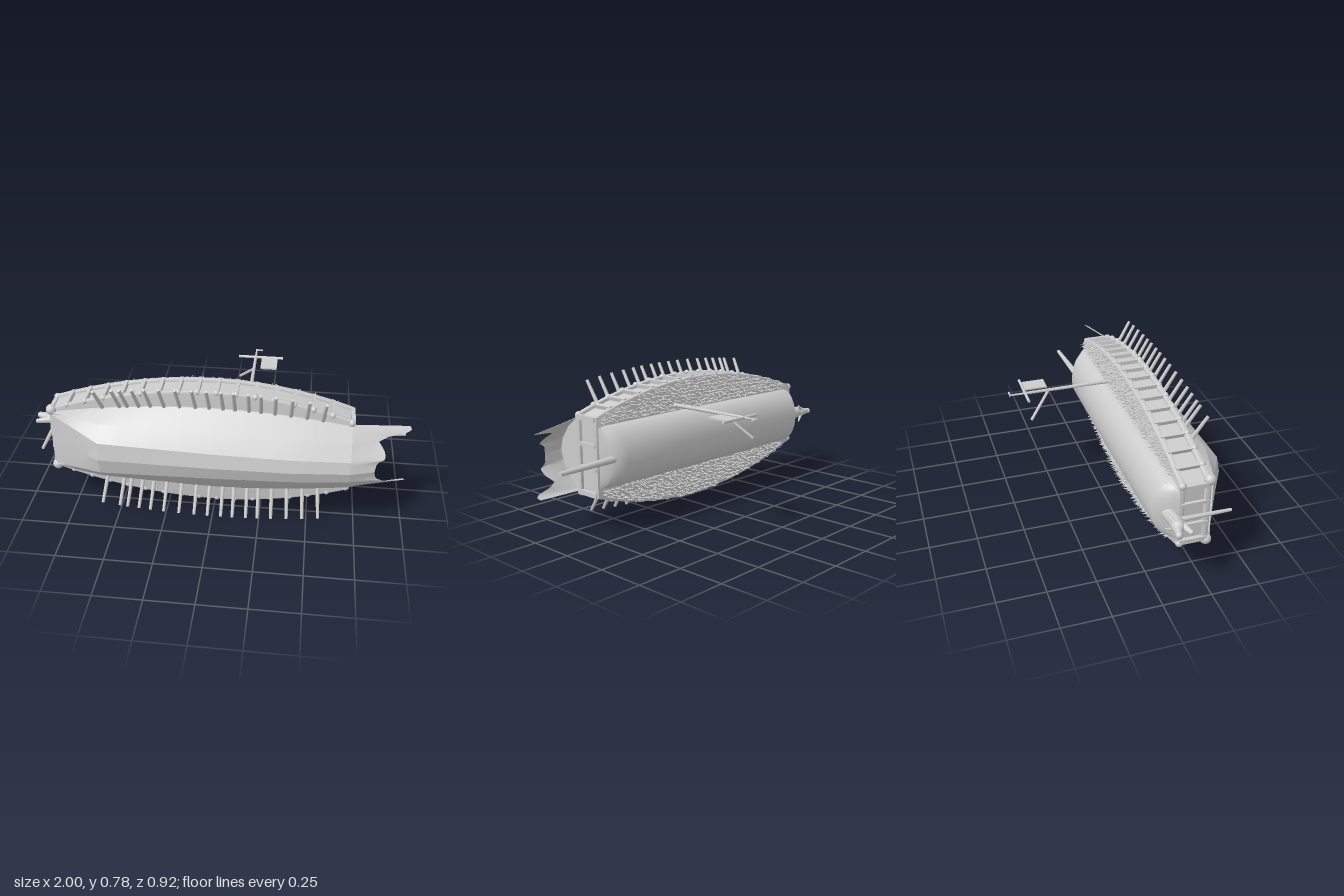
import * as THREE from 'three';
import { toCreasedNormals } from 'three/addons/utils/BufferGeometryUtils.js';

const MID = 0.395; // height of the ship's centre line (it lies on its side, keel towards +z)
const mat = new THREE.MeshStandardMaterial({ color: 0xcccccc, side: THREE.DoubleSide });
const V = (x, y, z) => new THREE.Vector3(x, y, z);
const beam = x => 0.325 - (x < 0 ? 0.215 : 0.25) * x * x;
const hullBeam = x => 0.25 - 0.12 * x * x;

// piecewise linear lookup in [[x, value], ...]
function lookup(table, x) {
  for (let i = 1; i < table.length; i++) {
    const [a, va] = table[i - 1], [b, vb] = table[i];
    if (x <= b) return va + (vb - va) * Math.max(0, (x - a) / (b - a));
  }
  return table[table.length - 1][1];
}

// surface through rows of points, all rows of equal length
function loft(rows, crease = 0.5) {
  const n = rows[0].length, index = [];
  for (let i = 0; i < rows.length - 1; i++)
    for (let j = 0; j < n - 1; j++) {
      const a = i * n + j, b = a + n;
      index.push(a, b, a + 1, b, b + 1, a + 1);
    }
  const g = new THREE.BufferGeometry().setFromPoints(rows.flat());
  g.setIndex(index);
  return toCreasedNormals(g, crease);
}

export function createModel() {
  const model = new THREE.Group();
  const add = (name, geo, parent = model) => {
    const m = new THREE.Mesh(geo, mat);
    m.name = name;
    parent.add(m);
    return m;
  };
  const group = name => {
    const g = new THREE.Group();
    g.name = name;
    model.add(g);
    return g;
  };
  const rod = (name, a, b, r0, r1, parent, sides = 8) => {
    const m = add(name, new THREE.CylinderGeometry(r1, r0, a.distanceTo(b), sides), parent);
    m.position.copy(a).lerp(b, 0.5);
    m.quaternion.setFromUnitVectors(V(0, 1, 0), b.clone().sub(a).normalize());
    return m;
  };
  const ball = (name, x, y, z, r, parent, sx = 1, sy = 1, sz = 1) => {
    const m = add(name, new THREE.SphereGeometry(r, 14, 10), parent);
    m.position.set(x, y, z);
    m.scale.set(sx, sy, sz);
    return m;
  };

  // hull: gunwale, bilge, chine and keel on both sides
  const keelZ = [[-0.85, 0.285], [-0.57, 0.45], [0, 0.456], [0.4, 0.45], [0.7, 0.425]];
  const chineY = [[-0.85, 0.155], [-0.57, 0.09], [0, 0.075], [0.7, 0.06]];
  const halfSection = x => {
    const hw = hullBeam(x), zk = lookup(keelZ, x), c = lookup(chineY, x), zc = 0.27 + (zk - 0.27) * 0.9;
    return [[hw, 0.262], [hw * 0.98, 0.28], [(hw + c) / 2 + 0.008, (0.28 + zc) / 2 + 0.008], [c, zc], [0, zk]];
  };
  const mirrorRow = (x, half) => [
    ...half.map(([y, z]) => V(x, MID + y, z)),
    ...half.slice(0, -1).reverse().map(([y, z]) => V(x, MID - y, z))];
  const hullRows = [];
  for (const x of [-0.85, -0.78, -0.71, -0.64, -0.57, -0.45, -0.3, -0.15, 0, 0.15, 0.3, 0.4, 0.5, 0.6, 0.7])
    hullRows.push(mirrorRow(x, halfSection(x)));
  add('hull', loft(hullRows, 0.25));

  // swallow-tailed stern plates running past the transom
  const tailX = [[0, 0.99], [0.1, 1], [0.2, 0.975], [0.35, 0.88], [0.5, 0.835], [0.65, 0.865], [0.78, 0.87], [0.85, 0.83], [1, 0.82]];
  const endY = [[0, 0.165], [0.5, 0.125], [0.8, 0.06], [1, 0]];
  const endZ = [[0, 0.2], [0.5, 0.3], [0.8, 0.37], [1, 0.39]];
  const stern = halfSection(0.7);
  for (const s of [1, -1]) {
    const rows = [];
    for (let i = 0; i <= 8; i++) {
      const u = i / 8, row = [];
      for (let j = 0; j <= 24; j++) {
        const t = j / 24, k = Math.min(3, Math.floor(t * 4)), f = t * 4 - k;
        const y0 = stern[k][0] + (stern[k + 1][0] - stern[k][0]) * f;
        const z0 = stern[k][1] + (stern[k + 1][1] - stern[k][1]) * f;
        row.push(V(0.7 + (lookup(tailX, t) - 0.7) * u,
          MID + s * (y0 + (lookup(endY, t) - y0) * u), z0 + (lookup(endZ, t) - z0) * u));
      }
      rows.push(row);
    }
    add('sternTail', loft(rows));
  }

  // upper works: plan outline extruded between deck and gunwale
  const outline = off => {
    const pts = [];
    for (let i = 0; i <= 30; i++) {
      const x = -0.85 - off + (1.55 + 2 * off) * i / 30;
      pts.push([x, beam(x) + off]);
    }
    return new THREE.Shape([...pts.map(([x, y]) => new THREE.Vector2(x, MID - y)),
      ...pts.reverse().map(([x, y]) => new THREE.Vector2(x, MID + y))]);
  };
  const slab = (name, off, z, depth, bevel) => {
    const g = new THREE.ExtrudeGeometry(outline(off), { depth, bevelEnabled: bevel > 0,
      bevelSize: bevel, bevelThickness: bevel, bevelSegments: 2 });
    add(name, toCreasedNormals(g, 0.6)).position.z = z;
  };
  slab('sideWalls', -0.008, 0.125, 0.135, 0);
  slab('deckRail', 0, 0.122, 0.016, 0.007);
  slab('gunwale', 0.002, 0.253, 0.014, 0.008);

  // wall ribs and knobs
  const ribs = group('wallRibs');
  for (let x = -0.76; x < 0.69; x += 0.097)
    for (const s of [1, -1]) {
      const slope = (beam(x + 0.01) - beam(x - 0.01)) / 0.02;
      const r = add('rib', new THREE.BoxGeometry(0.02, 0.024, 0.14), ribs);
      r.position.set(x, MID + s * beam(x), 0.195);
      r.rotation.z = Math.atan(s * slope);
      ball('ribKnob', x, MID + s * (beam(x) + 0.003), 0.262, 0.017, ribs);
    }
  for (const s of [1, -1]) {
    ball('bowKnob', -0.845, MID + s * 0.172, 0.268, 0.029, ribs);
    ball('bowKnob', -0.85, MID + s * 0.165, 0.13, 0.02, ribs);
    ball('sternKnob', 0.695, MID + s * 0.2, 0.262, 0.02, ribs);
    for (const x of [-0.856, 0.704]) {
      const post = add('endPost', new THREE.BoxGeometry(0.02, 0.025, 0.14), ribs);
      post.position.set(x, MID + s * (x < 0 ? 0.155 : 0.195), 0.195);
      const inner = add('endPost', new THREE.BoxGeometry(0.016, 0.018, 0.14), ribs);
      inner.position.set(x, MID + s * 0.06, 0.195);
    }
  }
  // bulkhead closing the hull under the transom
  const bulk = new THREE.Shape(mirrorRow(0, stern).map(p => new THREE.Vector2(p.y, p.z)));
  const bulkhead = new THREE.ShapeGeometry(bulk);
  bulkhead.applyMatrix4(new THREE.Matrix4().makeBasis(V(0, 1, 0), V(0, 0, 1), V(1, 0, 0)));
  add('sternBulkhead', bulkhead).position.x = 0.69;

  // rounded roof with sloping ends
  const roofRows = [[-0.85, 0.005, 0.125], [-0.84, 0.02, 0.14], [-0.81, 0.075, 0.15], [-0.78, 0.106, 0.158], [-0.3, 0.11, 0.162],
    [0.2, 0.11, 0.162], [0.6, 0.11, 0.16], [0.64, 0.095, 0.16], [0.67, 0.065, 0.158], [0.695, 0.005, 0.155]].map(([x, h, w]) =>
    Array.from({ length: 21 }, (_, i) => {
      const a = Math.PI * i / 20;
      return V(x, MID + w * Math.cos(a), 0.117 - h * Math.sin(a));
    }));
  add('roof', loft(roofRows));

  // deck spikes scattered between roof and rail
  let seed = 7;
  const rnd = () => (seed = (seed * 16807) % 2147483647) / 2147483647;
  const spikes = group('deckSpikes');
  const spikeGeo = new THREE.ConeGeometry(0.0065, 0.036, 5).rotateX(-Math.PI / 2);
  for (let x = -0.76; x < 0.69; x += 0.0165)
    for (const s of [1, -1])
      for (let y = 0.175; y < beam(x) - 0.004; y += 0.02) {
        const m = add('spike', spikeGeo, spikes);
        m.position.set(x + (rnd() - 0.5) * 0.014, MID + s * (y + (rnd() - 0.5) * 0.012), 0.102);
        m.rotation.set((rnd() - 0.5) * 0.7, (rnd() - 0.5) * 0.7, 0);
      }

  // oars fanning out on both sides
  const oars = group('oars');
  for (const x of [-0.57, -0.48, -0.44, -0.38, -0.32, -0.25, -0.17, -0.09, -0.02, 0.05, 0.11, 0.18, 0.24, 0.31, 0.39, 0.47, 0.55])
    for (const s of [1, -1])
      rod('oar', V(x, MID + s * (0.235 - 0.1 * x * x), 0.27),
        V(x + 0.03 * x - 0.005, MID + s * (0.388 - 0.12 * x * x), 0.355), 0.011, 0.0085, oars);

  // mast with yard, brace and flag
  const rig = group('mast');
  const my = 0.59;
  rod('pole', V(0.165, my, 0.12), V(0.165, my, -0.38), 0.011, 0.008, rig);
  rod('topPole', V(0.165, my, -0.37), V(0.165, my, -0.46), 0.006, 0.005, rig);
  rod('finial', V(0.16, my, -0.455), V(0.2, my, -0.455), 0.006, 0.005, rig);
  rod('yard', V(0.07, my, -0.372), V(0.32, my, -0.372), 0.008, 0.008, rig);
  rod('brace', V(0.165, 0.585, -0.245), V(0.08, 0.468, -0.362), 0.008, 0.008, rig);
  add('flag', new THREE.BoxGeometry(0.09, 0.008, 0.13), rig).position.set(0.245, my, -0.308);

  // stern spar
  rod('sternSpar', V(0.6, MID, 0.055), V(0.999, MID, 0.028), 0.02, 0.011, model, 10);

  // bow beast head with open jaws, horns, and the hanging anchor
  const head = group('bowHead');
  rod('neck', V(-0.8, MID, 0.08), V(-0.91, MID, 0.092), 0.035, 0.033, head, 12);
  ball('skull', -0.915, MID, 0.088, 0.036, head, 1.2, 0.9, 0.95);
  rod('upperJaw', V(-0.92, MID, 0.08), V(-0.985, MID, 0.07), 0.027, 0.015, head, 10);
  ball('snout', -0.983, MID, 0.068, 0.017, head);
  rod('lowerJaw', V(-0.91, MID, 0.105), V(-0.98, MID, 0.128), 0.022, 0.012, head, 10);
  ball('chin', -0.98, MID, 0.128, 0.013, head);
  for (const s of [1, -1])
    rod('horn', V(-0.91, MID + s * 0.02, 0.07), V(-0.865, MID + s * 0.05, 0.05), 0.01, 0.004, head);
  rod('anchorShank', V(-0.878, MID, 0.11), V(-0.878, MID, 0.375), 0.013, 0.008, head);
  return model;
}
